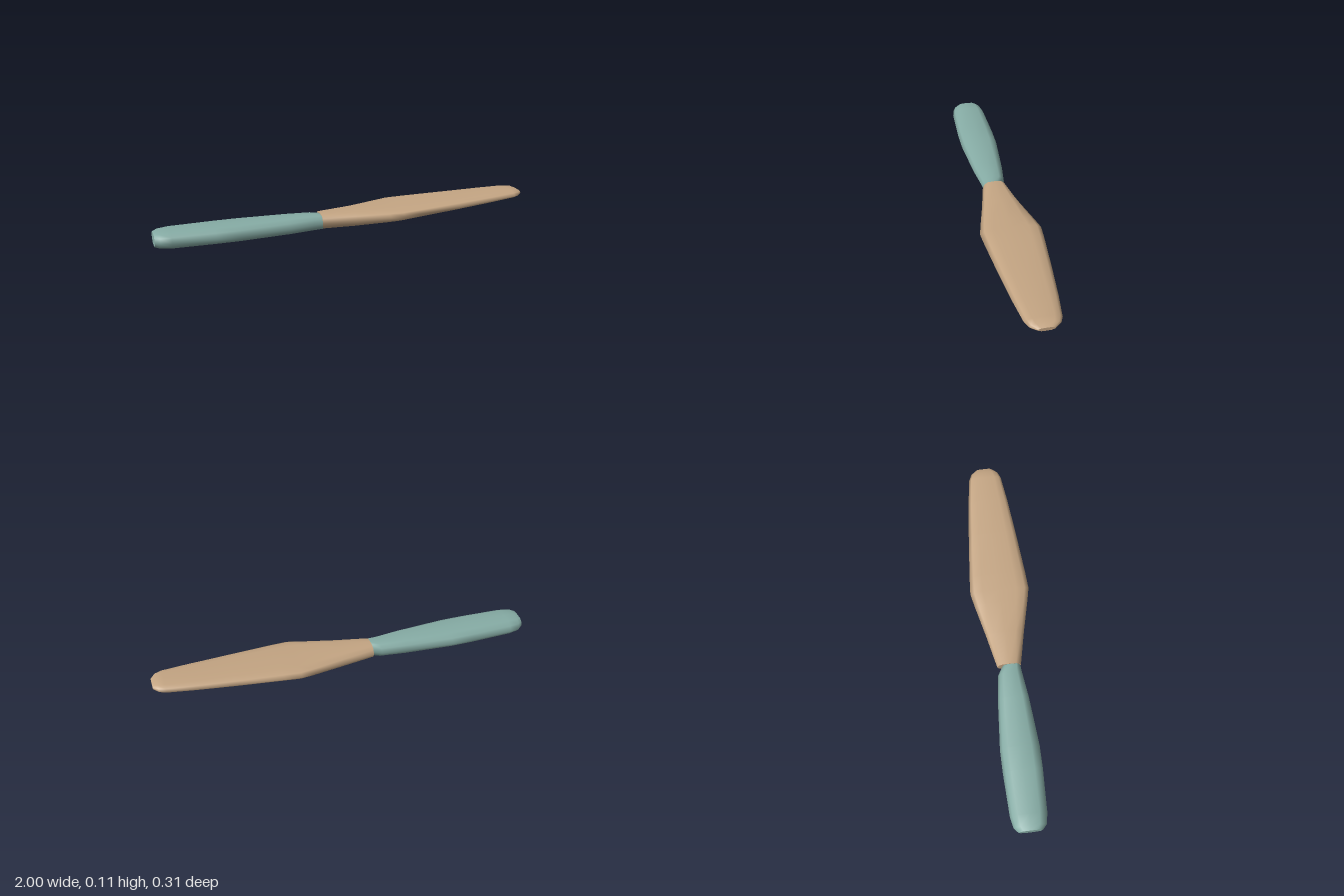
import * as THREE from 'three';

// Half of a cross-section from the front edge over the top: [share of half width, share of height from edge]
const ARC = [[1, 0], [0.86, 0.6], [0.58, 0.95], [0, 1], [-0.58, 0.95], [-0.86, 0.6], [-1, 0]];
const UNDER = [[-0.84, 0.55], [-0.55, 0.93], [0, 1], [0.55, 0.93], [0.84, 0.55]];

// Station: [x, centre z, half width, bottom y, edge y, top y]
function ring([x, zc, w, bottom, edge, top]) {
  const upper = ARC.map(([u, v]) => [x, edge + (top - edge) * v, zc + w * u]);
  const lower = UNDER.map(([u, v]) => [x, edge + (bottom - edge) * v, zc + w * u]);
  return upper.concat(lower);
}

// Smooth skin through the stations, closed by separate flat end caps
function loft(stations) {
  const rings = stations.map(ring);
  const n = rings[0].length;
  const positions = rings.flat(2);
  const index = [];
  for (let i = 0; i < rings.length - 1; i++) {
    for (let j = 0; j < n; j++) {
      const a = i * n + j, c = i * n + (j + 1) % n;
      index.push(a, a + n, c, c, a + n, c + n);
    }
  }
  for (const end of [0, rings.length - 1]) {
    const start = positions.length / 3;
    positions.push(...rings[end].flat());
    for (let j = 1; j < n - 1; j++) {
      if (end === 0) index.push(start, start + j, start + j + 1);
      else index.push(start, start + j + 1, start + j);
    }
  }
  const geometry = new THREE.BufferGeometry();
  geometry.setAttribute('position', new THREE.Float32BufferAttribute(positions, 3));
  geometry.setIndex(index);
  geometry.computeVertexNormals();
  return geometry;
}

export function createModel() {
  const teal = new THREE.MeshStandardMaterial({ name: 'muted teal', color: 0x86aca5 });
  const tan = new THREE.MeshStandardMaterial({ name: 'warm tan', color: 0xc4a583 });
  const group = new THREE.Group();
  group.name = 'spreader';

  // Rounded grip, tapering to the neck
  const handle = new THREE.Mesh(loft([
    [-1.0, 0, 0.06, 0.012, 0.044, 0.076],
    [-0.975, 0, 0.082, 0.005, 0.044, 0.083],
    [-0.92, 0, 0.093, 0.001, 0.043, 0.087],
    [-0.7, 0, 0.101, 0, 0.043, 0.088],
    [-0.58, 0, 0.101, 0, 0.043, 0.088],
    [-0.32, 0, 0.08, 0.002, 0.044, 0.087],
    [-0.19, 0, 0.063, 0.005, 0.045, 0.085],
    [-0.14, 0.012, 0.046, 0.008, 0.046, 0.083],
  ]), teal);
  handle.name = 'handle';

  // Broad blade, widening then thinning upward to the tip
  const blade = new THREE.Mesh(loft([
    [-0.145, 0, 0.062, 0.009, 0.048, 0.086],
    [0.03, 0, 0.1, 0.011, 0.056, 0.089],
    [0.2, 0, 0.141, 0.018, 0.066, 0.092],
    [0.27, 0, 0.156, 0.022, 0.071, 0.094],
    [0.36, 0, 0.15, 0.03, 0.074, 0.097],
    [0.6, 0, 0.128, 0.046, 0.081, 0.103],
    [0.8, 0, 0.107, 0.06, 0.088, 0.109],
    [0.94, 0, 0.088, 0.07, 0.093, 0.113],
    [0.975, 0, 0.073, 0.074, 0.094, 0.111],
    [1.0, 0, 0.042, 0.083, 0.093, 0.101],
  ]), tan);
  blade.name = 'blade';

  group.add(handle, blade);
  return group;
}
